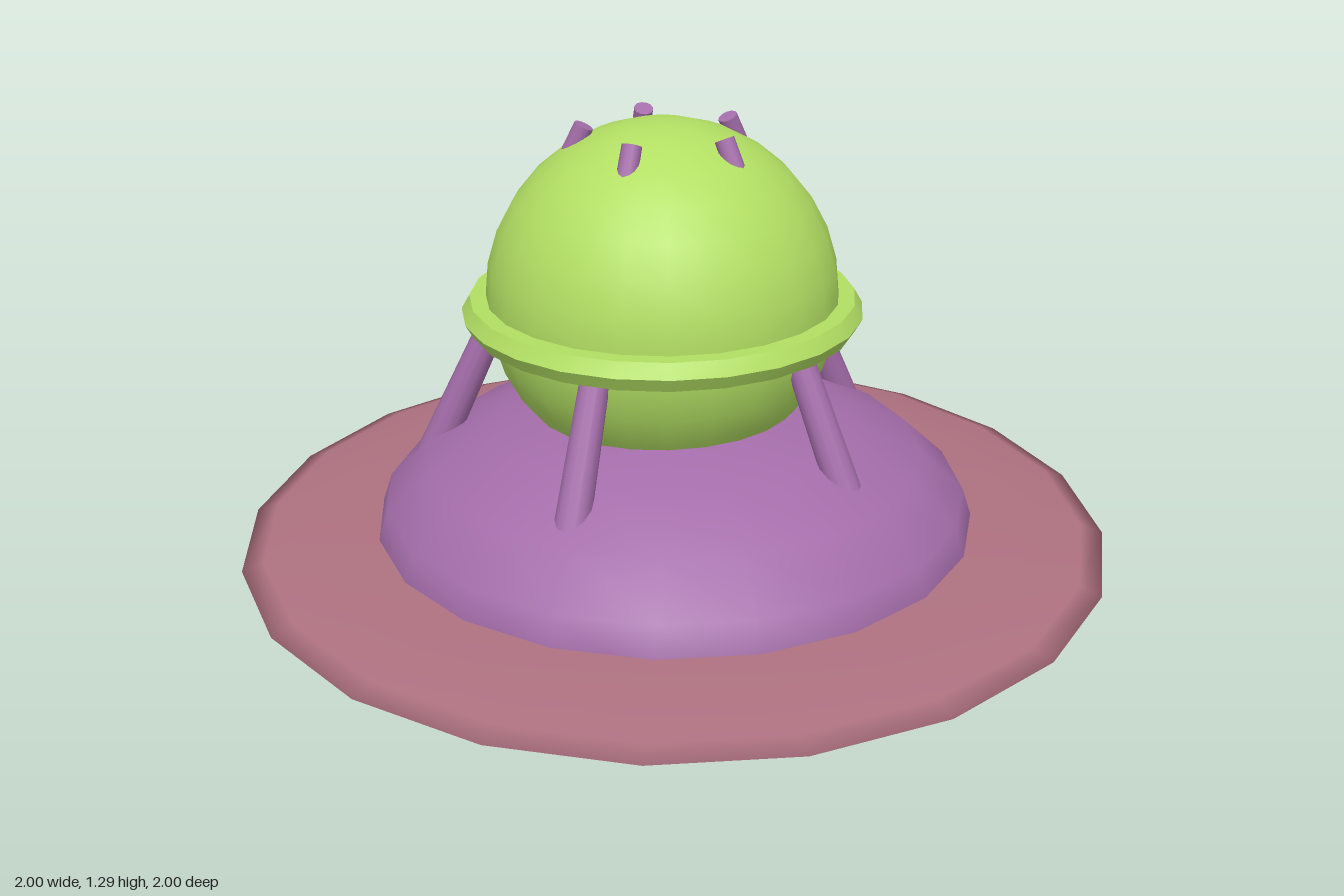
import * as THREE from 'three';
import { toCreasedNormals } from 'three/addons/utils/BufferGeometryUtils.js';

function flatColour(name, color) {
  const m = new THREE.MeshStandardMaterial({ color });
  m.name = name;
  return m;
}

export function createModel() {
  const green = flatColour('lime green', 0xb2df63);
  const purple = flatColour('purple', 0xa46daa);
  const rose = flatColour('dusty rose', 0xae7180);

  const model = new THREE.Group();
  model.name = 'flyingSaucer';

  function add(parent, name, geometry, material) {
    const mesh = new THREE.Mesh(geometry, material);
    mesh.name = name;
    parent.add(mesh);
    return mesh;
  }

  // Flattened spheres: hull and the thin rim disc around it
  const hull = add(model, 'hull', new THREE.SphereGeometry(1, 20, 10).scale(0.705, 0.335, 0.705), purple);
  hull.position.y = 0.337;
  const disc = add(model, 'rimDisc', new THREE.SphereGeometry(1, 20, 10).scale(1, 0.056, 1), rose);
  disc.position.y = 0.337;

  // Upper assembly sits slightly behind the hull centre
  const cabin = new THREE.Group();
  cabin.name = 'cabin';
  cabin.position.z = -0.05;
  model.add(cabin);

  const dome = add(cabin, 'dome', new THREE.SphereGeometry(0.4, 24, 16), green);
  dome.position.y = 0.893;

  // Hexagonal-section collar
  const collarGeometry = new THREE.TorusGeometry(0.418, 0.037, 6, 24).rotateX(Math.PI / 2);
  const collar = add(cabin, 'collar', toCreasedNormals(collarGeometry, Math.PI / 4), green);
  collar.position.y = 0.865;

  // Tapered struts lean inward from the hull and poke out through the dome
  const top = new THREE.Vector3(0.172, 1.278, 0);
  const foot = new THREE.Vector3(0.56, 0.45, 0);
  const axis = top.clone().sub(foot);
  for (let i = 0; i < 5; i++) {
    const pivot = new THREE.Group();
    pivot.name = 'strutPivot' + (i + 1);
    pivot.rotation.y = (i * Math.PI * 2) / 5;
    cabin.add(pivot);
    const strut = add(pivot, 'strut' + (i + 1), new THREE.CylinderGeometry(0.022, 0.041, axis.length(), 12), purple);
    strut.position.copy(top).add(foot).multiplyScalar(0.5);
    strut.quaternion.setFromUnitVectors(new THREE.Vector3(0, 1, 0), axis.clone().normalize());
  }

  return model;
}
